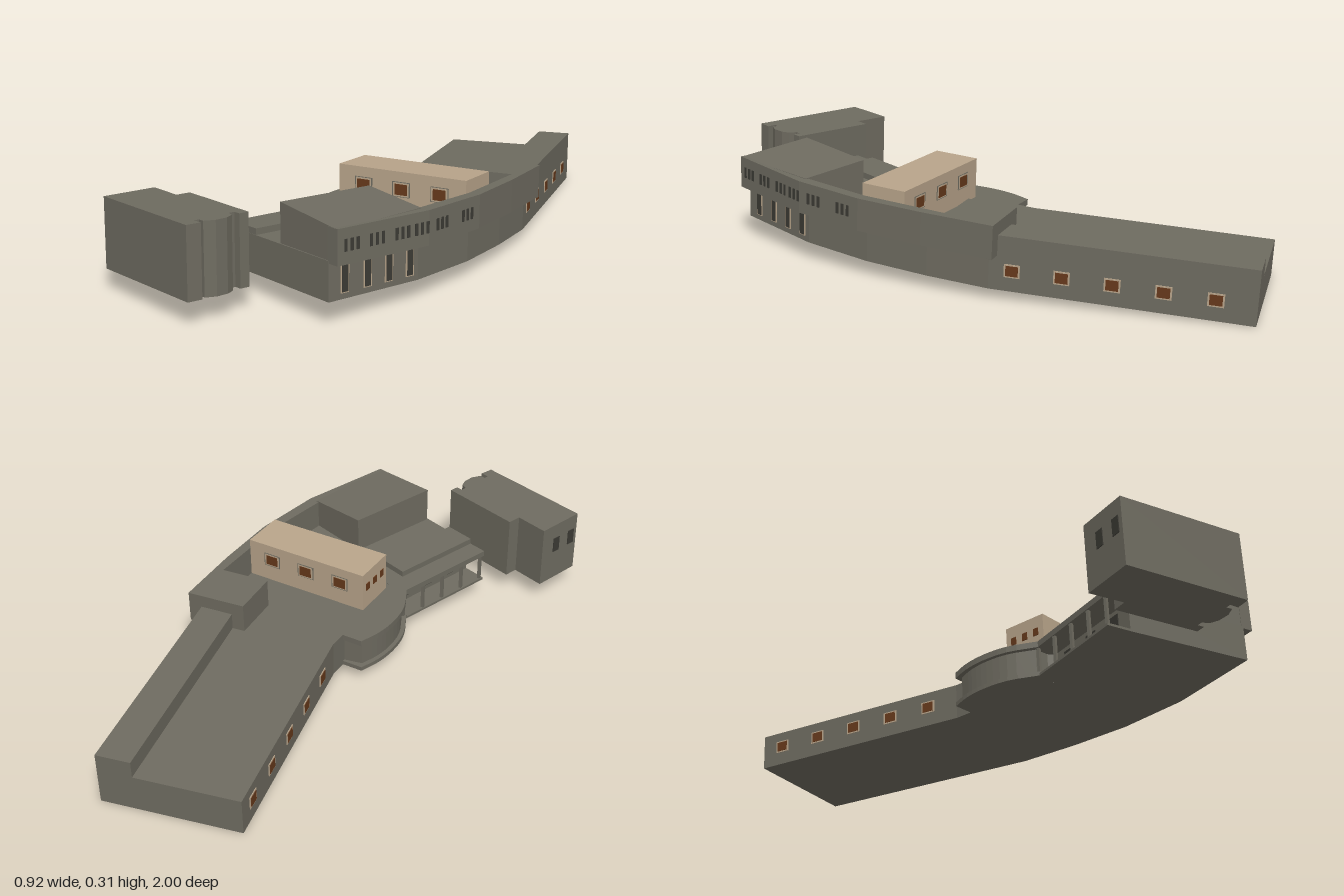
import * as THREE from 'three';

export function createModel() {
  const root = new THREE.Group();
  root.name = 'curvedBuilding';
  // The whole site sits on a gentle slope
  const site = new THREE.Group();
  site.name = 'slopedSite';
  site.position.set(0, 0.039, 0.006);
  site.rotation.set(-0.04, 0, 0.012);
  root.add(site);

  const mat = (name, color) => {
    const m = new THREE.MeshStandardMaterial({ color });
    m.name = name;
    return m;
  };
  const grey = mat('warmGrey', 0x6e6b60);
  const beige = mat('beige', 0xb8a48a);
  const brown = mat('brown', 0x66391b);
  const dark = mat('darkOpening', 0x3b3a34);

  const add = (name, geo, m) => {
    const mesh = new THREE.Mesh(geo, m);
    mesh.name = name;
    site.add(mesh);
    return mesh;
  };
  // Upright prism from an [x, z] outline
  const prism = (name, pts, y0, y1, m = grey) => {
    const shape = new THREE.Shape(pts.map(([x, z]) => new THREE.Vector2(x, -z)));
    const geo = new THREE.ExtrudeGeometry(shape, { depth: y1 - y0, bevelEnabled: false });
    geo.rotateX(-Math.PI / 2).translate(0, y0, 0);
    return add(name, geo, m);
  };
  // Thin plate on the wall from p to q, at fraction t and height y
  const plate = (name, p, q, t, y, w, h, m, thick = 0.005) => {
    const dx = q[0] - p[0], dz = q[1] - p[1];
    const mesh = add(name, new THREE.BoxGeometry(w, h, thick), m);
    mesh.position.set(p[0] + dx * t, y, p[1] + dz * t);
    mesh.rotation.y = Math.atan2(-dz, dx);
  };
  const framedWindow = (p, q, t, y, w, h) => {
    plate('windowFrame', p, q, t, y, w, h, beige, 0.005);
    plate('windowPane', p, q, t, y, w * 0.78, h * 0.78, brown, 0.008);
  };

  // Lower storey with the long rear wing
  const wingLeft = [[-0.22, -0.9], [-0.05, -0.13]];
  const wingRight = [[0.22, -1.0], [0.4, -0.21]];
  prism('lowerStorey', [
    wingLeft[0], wingRight[0], wingRight[1], [0.415, 0], [0.415, 0.22], [0.38, 0.47],
    [0.275, 0.79], [-0.14, 0.645], [-0.02, 0.27], [-0.05, 0.25], wingLeft[1],
  ], 0, 0.12);
  prism('rearRoofStrip', [[0.11, -0.975], wingRight[0], wingRight[1], [0.29, -0.19]], 0.12, 0.175);

  // Wing windows on both long sides
  for (let i = 0; i < 5; i++) {
    framedWindow(...wingRight, 0.15 + i * 0.19, 0.066, 0.05, 0.042);
    framedWindow(...wingLeft, 0.1 + i * 0.19, 0.066, 0.05, 0.042);
  }

  // Overhanging upper gallery along the outer curve
  const gallery = [[0.44, -0.24], [0.455, 0], [0.457, 0.23], [0.42, 0.48], [0.31, 0.8]];
  prism('upperGallery', [
    ...gallery, [0.27, 0.787], [0.38, 0.475], [0.42, 0.23], [0.42, -0.07], [0.4, -0.235],
  ], 0.112, 0.218);
  prism('galleryEndBlock', [[0.24, -0.215], [0.44, -0.24], [0.42, -0.07], [0.255, -0.05]], 0.11, 0.218);

  // Gallery slit windows in threes
  const slits = (p, q, groups) => {
    for (const t of groups) for (const k of [-1, 0, 1]) {
      const len = Math.hypot(q[0] - p[0], q[1] - p[1]);
      plate('slitWindow', p, q, t + (k * 0.022) / len, 0.168, 0.01, 0.036, dark);
    }
  };
  slits(gallery[4], gallery[3], [0.15, 0.42, 0.7, 0.92]);
  slits(gallery[3], gallery[2], [0.25, 0.75]);

  // Tall ground floor windows below the gallery
  for (const t of [0.17, 0.42, 0.66, 0.9]) {
    plate('tallWindowFrame', [0.275, 0.79], [0.38, 0.47], t, 0.06, 0.03, 0.084, beige);
    plate('tallWindow', [0.275, 0.79], [0.38, 0.47], t, 0.06, 0.022, 0.078, dark, 0.008);
  }

  // Front hall with a roof falling towards the outer curve
  const hall = prism('frontHall', [[0.06, 0.71], [0.31, 0.8], [0.39, 0.475], [0.17, 0.4]], 0.115, 0.243);
  const pos = hall.geometry.attributes.position;
  for (let i = 0; i < pos.count; i++) {
    if (pos.getY(i) < 0.2) continue;
    const s = (pos.getX(i) - 0.06) * 0.94 + (pos.getZ(i) - 0.71) * 0.34;
    pos.setY(i, 0.243 - 0.1 * Math.max(0, s));
  }
  hall.geometry.computeVertexNormals();

  // Stepped roof over the inner front wing
  prism('roofStep', [[-0.05, 0.33], [0.055, 0.365], [-0.05, 0.675], [-0.155, 0.64]], 0.11, 0.14);

  // Veranda: roof, floor and posts
  const veranda = [[-0.22, 0.62], [-0.14, 0.645], [-0.02, 0.27], [-0.09, 0.23]];
  prism('verandaRoof', veranda, 0.1, 0.12);
  prism('verandaFloor', veranda, 0, 0.008);
  for (let i = 0; i < 5; i++) {
    const post = add('verandaPost', new THREE.BoxGeometry(0.01, 0.1, 0.01), grey);
    post.position.set(-0.208 + i * 0.029, 0.052, 0.612 - i * 0.088);
  }
  for (const t of [0.2, 0.5, 0.8]) plate('verandaWindow', [-0.14, 0.645], [-0.02, 0.27], t, 0.055, 0.05, 0.06, dark);

  // Rounded entrance bay with floor and roof slabs
  const bay = (s) => {
    const curve = new THREE.CatmullRomCurve3([[-0.12, -0.07], [-0.145, 0], [-0.155, 0.08], [-0.145, 0.17], [-0.1, 0.27]]
      .map(([x, z]) => new THREE.Vector3(-0.04 + (x + 0.04) * s, 0, 0.1 + (z - 0.1) * s)));
    return [[0, -0.07], ...curve.getPoints(12).map((v) => [v.x, v.z]), [0, 0.26]];
  };
  prism('bayFloor', bay(1), 0, 0.014);
  prism('bayWall', bay(0.88), 0.014, 0.1);
  prism('bayRoof', bay(1), 0.1, 0.12);

  // Beige roof hall with windows
  const [x0, x1, z0, z1] = [-0.035, 0.415, 0.085, 0.24];
  prism('roofPavilion', [[x0, z0], [x1, z0], [x1, z1], [x0, z1]], 0.11, 0.256, beige);
  for (const t of [0.2, 0.5, 0.8]) {
    for (const z of [z0, z1]) {
      plate('pavilionWindowFrame', [x0, z], [x1, z], t, 0.2, 0.062, 0.048, grey, 0.004);
      framedWindow([x0, z], [x1, z], t, 0.2, 0.056, 0.044);
    }
    plate('pavilionEndWindow', [x0, z0], [x0, z1], t, 0.2, 0.02, 0.026, brown);
  }

  // Detached front block with a notched, rounded end
  prism('detachedBlock', [
    [-0.41, 0.695], [-0.295, 0.735], [-0.28, 0.69], [0.003, 0.785], [-0.007, 0.815], [-0.03, 0.808],
    [-0.035, 0.826], [-0.015, 0.84], [-0.01, 0.87], [-0.02, 0.908], [-0.043, 0.935], [-0.062, 0.928],
    [-0.068, 0.944], [-0.038, 0.952], [-0.055, 0.996], [-0.463, 0.864],
  ], 0, 0.222);
  for (const t of [0.4, 0.83]) plate('detachedWindow', [-0.41, 0.695], [-0.463, 0.864], t, 0.14, 0.03, 0.055, dark);

  return root;
}
